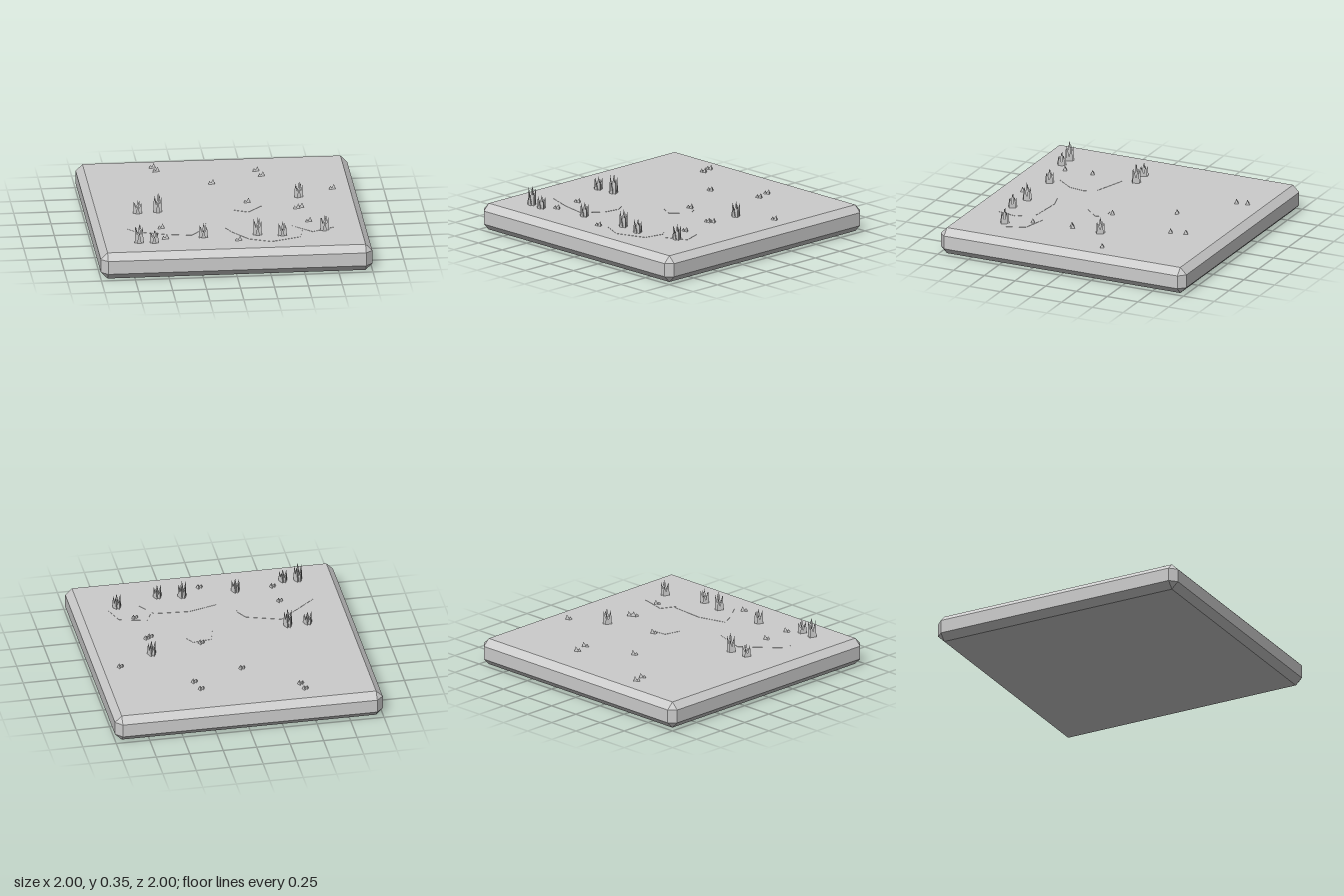
import * as THREE from 'three';
import { mergeGeometries } from 'three/addons/utils/BufferGeometryUtils.js';
import { ConvexGeometry } from 'three/addons/geometries/ConvexGeometry.js';

const TOP = 0.2;

// three-sided blade standing on y = 0, its tip leaning sideways
function blade(x, z, radius, height, leanX = 0, leanZ = 0) {
  const g = new THREE.ConeGeometry(radius, height, 3, 1);
  g.rotateY(Math.PI);
  g.translate(0, height / 2, 0);
  const p = g.attributes.position;
  for (let i = 0; i < p.count; i++) {
    const t = p.getY(i) / height;
    p.setX(i, p.getX(i) + leanX * t);
    p.setZ(i, p.getZ(i) + leanZ * t);
  }
  g.translate(x, 0, z);
  return g;
}

// tall tuft: a ring of outward-leaning blades around a tall centre blade
function tuftGeometry(height) {
  const blades = [blade(0, 0, 0.023, height, 0.004, 0)];
  const scale = [0.8, 0.62, 0.9, 0.7, 0.85];
  scale.forEach((s, i) => {
    const a = (i / scale.length) * Math.PI * 2 + 0.3;
    const c = Math.cos(a), d = Math.sin(a);
    blades.push(blade(c * 0.017, d * 0.017, 0.019, height * s, c * 0.012, d * 0.012));
  });
  return mergeGeometries(blades);
}

// tiny sprout: two short blades
function sproutGeometry() {
  return mergeGeometries([
    blade(-0.011, 0.004, 0.016, 0.025, -0.003, 0),
    blade(0.01, -0.005, 0.019, 0.036, 0.003, 0),
  ]);
}

export function createModel() {
  const model = new THREE.Group();
  const stone = new THREE.MeshStandardMaterial({ color: 0xcccccc, flatShading: true });
  stone.name = 'pale grey';

  const add = (geometry, name, x = 0, y = 0, z = 0) => {
    const mesh = new THREE.Mesh(geometry, stone);
    mesh.name = name;
    mesh.position.set(x, y, z);
    model.add(mesh);
  };

  // slab with every edge and corner chamfered
  const corners = [];
  for (const sx of [-1, 1]) for (const sz of [-1, 1]) {
    for (const y of [0.05, 0.15]) {
      corners.push(new THREE.Vector3(sx, y, sz * 0.95), new THREE.Vector3(sx * 0.95, y, sz));
    }
    for (const y of [0, TOP]) corners.push(new THREE.Vector3(sx * 0.95, y, sz * 0.95));
  }
  add(new ConvexGeometry(corners), 'groundSlab');

  // very thin ground patches, outlines in x, z
  const patches = [
    [[-0.76, 0.46], [-0.47, 0.21], [-0.22, 0.29], [-0.17, 0.38], [-0.19, 0.5], [-0.3, 0.64], [-0.5, 0.6], [-0.7, 0.53]],
    [[0.11, 0.76], [0, 0.6], [-0.04, 0.51], [0.17, 0.45], [0.43, 0.47], [0.52, 0.6], [0.49, 0.75], [0.27, 0.83]],
    [[0.44, 0.5], [0.5, 0.38], [0.7, 0.43], [0.75, 0.57], [0.59, 0.65]],
    [[0.06, 0.14], [0.09, 0.02], [0.23, 0], [0.27, 0.07], [0.16, 0.19]],
  ];
  patches.forEach((outline, i) => {
    const shape = new THREE.Shape(outline.map(([x, z]) => new THREE.Vector2(x, -z)));
    const g = new THREE.ExtrudeGeometry(shape, { depth: 0.002, bevelEnabled: false });
    g.rotateX(-Math.PI / 2);
    add(g, `groundPatch${i + 1}`, 0, TOP + i * 0.0003, 0);
  });

  // tall grass tufts: x, z, height
  const tufts = [
    [-0.7, 0.75, 0.15], [-0.59, 0.76, 0.1], [-0.65, 0.12, 0.1], [-0.5, 0.11, 0.15], [-0.22, 0.68, 0.11],
    [0.18, 0.67, 0.14], [0.36, 0.7, 0.11], [0.56, -0.11, 0.12], [0.68, 0.61, 0.12],
  ];
  for (const [x, z, h] of tufts) add(tuftGeometry(h), 'grassTuft', x, TOP, z);

  // small sprouts: x, z
  const sprouts = [
    [-0.45, -0.82], [-0.43, -0.74], [0.3, -0.68], [0.33, -0.57], [-0.05, -0.44], [0.82, -0.25], [0.17, -0.02],
    [0.52, 0.14], [0.55, 0.12], [0.58, 0.43], [-0.51, 0.47], [-0.5, 0.69], [0.03, 0.78],
  ];
  const sprout = sproutGeometry();
  for (const [x, z] of sprouts) add(sprout, 'sprout', x, TOP, z);

  return model;
}
